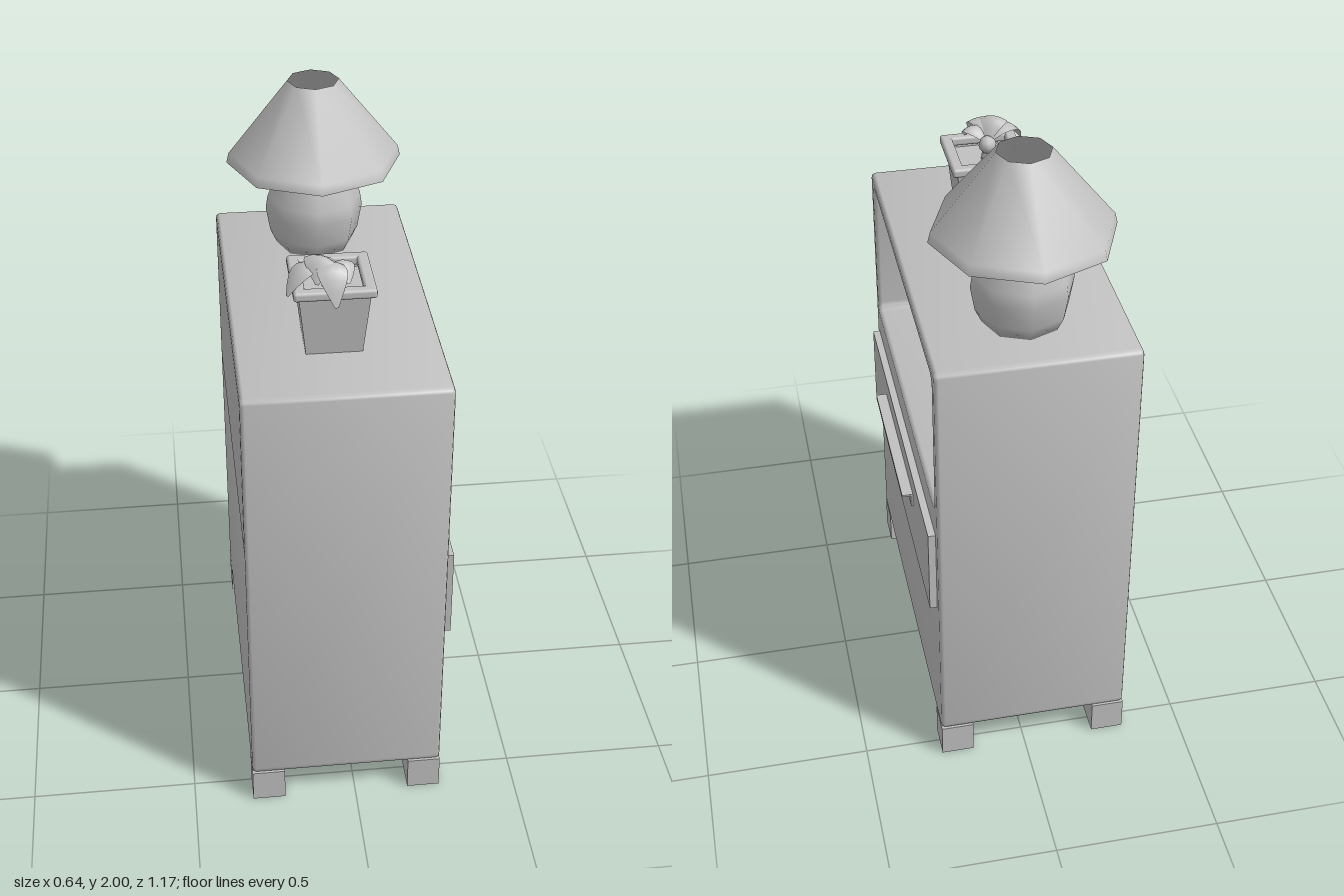
import * as THREE from 'three';
import { toCreasedNormals } from 'three/addons/utils/BufferGeometryUtils.js';
import { RoundedBoxGeometry } from 'three/addons/geometries/RoundedBoxGeometry.js';

export function createModel() {
  const grey = new THREE.MeshStandardMaterial({ color: 0xc0c0c0, side: THREE.DoubleSide });
  grey.name = 'plain grey';
  const model = new THREE.Group();
  model.name = 'bedsideCabinet';

  function add(name, geometry, parent = model) {
    const mesh = new THREE.Mesh(geometry, grey);
    mesh.name = name;
    parent.add(mesh);
    return mesh;
  }
  function group(name, x, y, z) {
    const g = new THREE.Group();
    g.name = name;
    g.position.set(x, y, z);
    model.add(g);
    return g;
  }
  // Box given by its limits on each axis
  function box(name, [x0, x1], [y0, y1], [z0, z1], parent = model) {
    const mesh = add(name, new THREE.BoxGeometry(x1 - x0, y1 - y0, z1 - z0), parent);
    mesh.position.set((x0 + x1) / 2, (y0 + y1) / 2, (z0 + z1) / 2);
    return mesh;
  }
  // Rounded rectangle outline
  function roundRect(path, x0, y0, x1, y1, r) {
    path.moveTo(x0 + r, y0);
    path.lineTo(x1 - r, y0);
    path.quadraticCurveTo(x1, y0, x1, y0 + r);
    path.lineTo(x1, y1 - r);
    path.quadraticCurveTo(x1, y1, x1 - r, y1);
    path.lineTo(x0 + r, y1);
    path.quadraticCurveTo(x0, y1, x0, y1 - r);
    path.lineTo(x0, y0 + r);
    path.quadraticCurveTo(x0, y0, x0 + r, y0);
    return path;
  }

  // Cabinet body with the open shelf on the +x side
  const outline = roundRect(new THREE.Shape(), -0.585, 0.105, 0.555, 1.472, 0.022);
  outline.holes.push(roundRect(new THREE.Path(), -0.54, 0.975, 0.505, 1.432, 0.025));
  const bevel = 0.012;
  const body = new THREE.ExtrudeGeometry(outline, {
    depth: 0.585 - 2 * bevel, bevelThickness: bevel, bevelSize: bevel,
    bevelOffset: -bevel, bevelSegments: 2, curveSegments: 4,
  });
  body.translate(0, 0, -0.32 + bevel).rotateY(Math.PI / 2);
  add('cabinetBody', toCreasedNormals(body, 0.9));
  box('backPanel', [-0.3205, -0.29], [0.955, 1.45], [-0.525, 0.56]);

  // Feet
  for (const x of [-0.27, 0.215]) {
    for (const z of [-0.505, 0.535]) {
      box('foot', [x - 0.05, x + 0.05], [0, 0.107], [z - 0.05, z + 0.05]);
    }
  }

  // Drawer front and its angled handle
  box('drawerFront', [0.255, 0.287], [0.597, 0.88], [-0.517, 0.548]);
  box('handlePlate', [0.287, 0.293], [0.77, 0.815], [-0.245, 0.275]);
  box('handleGrip', [0.287, 0.32], [0.81, 0.816], [-0.245, 0.275]);

  // Book lying flat: two covers, a spine at the back and recessed pages
  function book(name, thick, length, depth, x, y, z, tilt) {
    const g = group(name, x, y, z);
    g.rotation.x = tilt;
    const c = 0.007, h = thick / 2, d = depth / 2, l = length / 2;
    box('lowerCover', [-d, d], [-h, -h + c], [-l, l], g);
    box('upperCover', [-d, d], [h - c, h], [-l, l], g);
    box('spine', [-d, -d + c], [-h, h], [-l, l], g);
    box('pages', [-d + c, d - 0.015], [-h + c, h - c], [-l + 0.012, l - 0.012], g);
  }
  book('largeBook', 0.073, 0.515, 0.36, -0.05, 1.013, -0.073, 0);
  book('smallBook', 0.032, 0.41, 0.28, -0.06, 1.066, -0.055, 0);
  book('slantedBook', 0.03, 0.535, 0.34, -0.05, 1.071, 0.283, 0.225);
  const upright = box('uprightBook', [-0.2, 0.13], [-0.17, 0.17], [-0.048, 0.048]);
  upright.position.set(-0.035, 1.151, -0.434);
  upright.rotation.x = -0.145;

  // Lamp: eight-sided vase base under an open shade
  const lamp = group('lamp', -0.027, 0, -0.323);
  const profile = (pts) => pts.map(([r, y]) => new THREE.Vector2(r, y));
  add('lampBase', new THREE.LatheGeometry(profile([
    [0, 1.47], [0.115, 1.472], [0.135, 1.515], [0.148, 1.59], [0.142, 1.63],
    [0.115, 1.7], [0.09, 1.755], [0.075, 1.83], [0.062, 1.88], [0, 1.9],
  ]), 8), lamp);
  add('lampShade', new THREE.LatheGeometry(profile([
    [0.263, 1.748], [0.256, 1.778], [0.077, 2],
  ]), 8), lamp);

  // Square tapered pot
  const pot = group('plantPot', -0.04, 0, 0.276);
  const potBody = new THREE.CylinderGeometry(0.1 * Math.SQRT2, 0.08 * Math.SQRT2, 0.19, 4, 1, true);
  potBody.rotateY(Math.PI / 4).translate(0, 1.567, 0);
  add('potWalls', toCreasedNormals(potBody, 0.5), pot);
  box('soil', [-0.095, 0.095], [1.63, 1.645], [-0.095, 0.095], pot);
  for (const s of [-1, 1]) {
    const along = add('potRim', new RoundedBoxGeometry(0.23, 0.028, 0.034, 2, 0.009), pot);
    along.position.set(0, 1.669, s * 0.098);
    const across = add('potRim', new RoundedBoxGeometry(0.034, 0.028, 0.23, 2, 0.009), pot);
    across.position.set(s * 0.098, 1.669, 0);
  }

  // Bud on a short stem
  const bud = add('bud', new THREE.SphereGeometry(0.027, 8, 6), pot);
  bud.position.set(-0.01, 1.698, -0.005);
  const stem = add('stem', new THREE.CylinderGeometry(0.014, 0.02, 0.05, 6), pot);
  stem.position.set(-0.01, 1.665, 0);

  // Drooping leaf: a curved strip, widest past its middle
  function leaf(peak, tip, width) {
    const curve = new THREE.QuadraticBezierCurve3(
      new THREE.Vector3(-0.012, 1.69, 0.005), new THREE.Vector3(...peak), new THREE.Vector3(...tip));
    const geometry = new THREE.PlaneGeometry(1, 1, 4, 8);
    const p = geometry.attributes.position;
    const side = new THREE.Vector3(tip[2], 0, -tip[0]).normalize();
    for (let i = 0; i < p.count; i++) {
      const t = 0.5 - p.getY(i), u = p.getX(i);
      const point = curve.getPoint(t);
      point.addScaledVector(side, u * width * (0.12 + 0.88 * Math.sin(Math.PI * Math.pow(t, 1.2))));
      point.y -= u * u * 0.05 * Math.sin(Math.PI * t);
      p.setXYZ(i, point.x, point.y, point.z);
    }
    geometry.computeVertexNormals();
    add('leaf', geometry, pot);
  }
  leaf([-0.08, 1.8, 0.05], [-0.13, 1.665, 0.09], 0.075);
  leaf([-0.01, 1.83, 0.09], [0.0, 1.645, 0.135], 0.085);
  leaf([0.035, 1.79, 0.04], [0.04, 1.69, 0.085], 0.065);
  leaf([-0.045, 1.83, 0.04], [-0.05, 1.7, 0.1], 0.085);

  return model;
}
